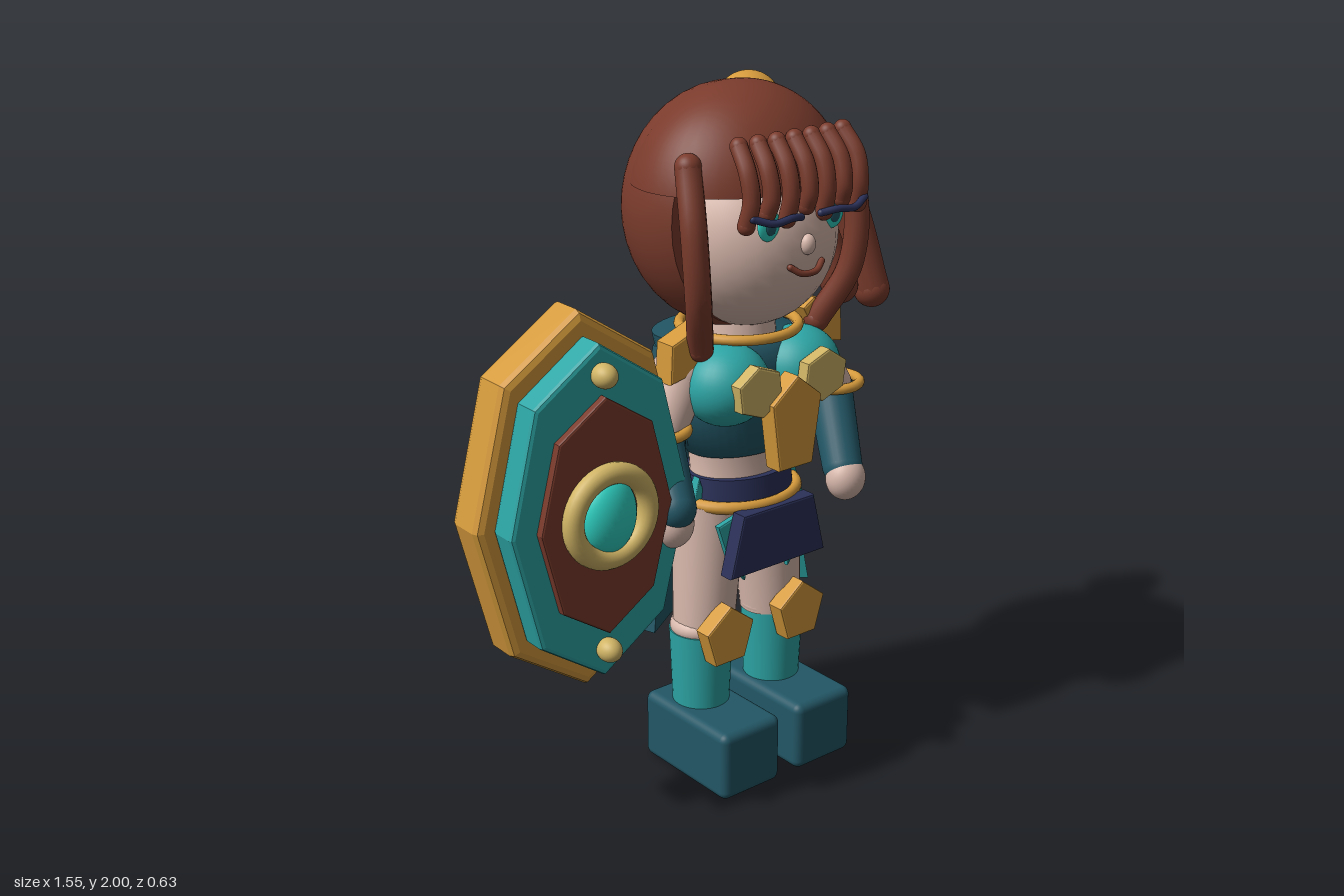
import * as THREE from 'three';
import { RoundedBoxGeometry } from 'three/addons/geometries/RoundedBoxGeometry.js';

const V = (x, y, z) => new THREE.Vector3(x, y, z);

export function createModel() {
  const material = (name, color) => {
    const m = new THREE.MeshStandardMaterial({ color });
    m.name = name;
    return m;
  };
  const skin = material('skin', 0xd8b8ac);
  const hair = material('auburn', 0x7a3b2c);
  const gold = material('gold', 0xd59a3c);
  const paleGold = material('pale gold', 0xd0b465);
  const teal = material('teal', 0x2da5a5);
  const darkTeal = material('dark teal', 0x235766);
  const navy = material('navy', 0x2b3159);
  const gem = material('turquoise', 0x2fd3c4);

  const model = new THREE.Group();
  const body = new THREE.Group();
  body.name = 'figure';
  body.position.x = 0.167;
  model.add(body);

  // Helpers: every part is added with a name, geometry, material and position
  function add(parent, name, geo, mat, x = 0, y = 0, z = 0) {
    const mesh = new THREE.Mesh(geo, mat);
    mesh.name = name;
    mesh.position.set(x, y, z);
    parent.add(mesh);
    return mesh;
  }
  const ball = (parent, name, mat, p, r) =>
    add(parent, name, new THREE.SphereGeometry(1, 32, 24).scale(...r), mat, ...p);
  function limb(parent, name, mat, a, b, ra, rb) {
    const dir = b.clone().sub(a);
    const mesh = add(parent, name, new THREE.CylinderGeometry(rb, ra, dir.length(), 28), mat);
    mesh.position.copy(a).add(b).multiplyScalar(0.5);
    mesh.quaternion.setFromUnitVectors(V(0, 1, 0), dir.normalize());
    return mesh;
  }
  function strand(parent, name, mat, pts, r, roundEnd = true) {
    const curve = new THREE.CatmullRomCurve3(pts);
    add(parent, name, new THREE.TubeGeometry(curve, 24, r, 12), mat);
    for (const p of roundEnd ? [pts[0], pts[pts.length - 1]] : [])
      ball(parent, name + 'Tip', mat, [p.x, p.y, p.z], [r, r, r]);
  }
  function plate(parent, name, mat, pts, depth, p, bevel = 0.006) {
    const shape = new THREE.Shape(pts.map(([x, y]) => new THREE.Vector2(x, y)));
    const geo = new THREE.ExtrudeGeometry(shape, {
      depth: depth - 2 * bevel, bevelEnabled: bevel > 0, bevelSize: bevel,
      bevelThickness: bevel, bevelOffset: -bevel, bevelSegments: 2,
    });
    return add(parent, name, geo.translate(0, 0, bevel), mat, ...p);
  }
  const polygon = (n, rx, ry, start = Math.PI / 2) => Array.from({ length: n }, (_, i) => {
    const a = start + (i / n) * Math.PI * 2;
    return [Math.cos(a) * rx, Math.sin(a) * ry];
  });
  // Unit sphere with its bottom sliced flat at height h
  function slicedSphere(h) {
    const end = Math.acos(h);
    const pts = [new THREE.Vector2(0, h), new THREE.Vector2(Math.sin(end) - 0.002, h)];
    for (let i = 24; i >= 0; i--) {
      const t = (end * i) / 24;
      pts.push(new THREE.Vector2(Math.sin(t), Math.cos(t)));
    }
    return new THREE.LatheGeometry(pts, 40);
  }
  const lathe = (pts) => new THREE.LatheGeometry(pts.map(([r, y]) => new THREE.Vector2(r, y)), 36);

  // Head and hair
  ball(body, 'face', skin, [0, 1.6, 0.03], [0.25, 0.26, 0.245]);
  add(body, 'backHair', slicedSphere(-0.345).rotateX(-Math.PI / 2).scale(0.31, 0.335, 0.29), hair, 0, 1.66, -0.03);
  add(body, 'hairCap', slicedSphere(0.2).scale(0.322, 0.32, 0.262), hair, 0, 1.68, -0.005);
  for (let i = 0; i < 7; i++) {
    const x = (i - 3) * 0.063;
    const dz = -0.3 * x * x;
    strand(body, 'fringe', hair, [V(x * 0.95, 1.88, 0.215 + dz), V(x, 1.82, 0.262 + dz),
      V(x, 1.75, 0.278 + dz), V(x * 1.03, 1.685 + (i % 2) * 0.025, 0.265 + dz)], 0.024);
  }
  for (const s of [-1, 1]) {
    strand(body, 'sideLock', hair, [V(s * 0.26, 1.82, 0.1), V(s * 0.285, 1.66, 0.155),
      V(s * 0.27, 1.48, 0.155), V(s * 0.21, 1.32, 0.09)], 0.036);
  }

  // Ponytail
  ball(body, 'hairBobble', gold, [0.2, 1.88, -0.2], [0.095, 0.095, 0.095]);
  for (const [x, y, z] of [[0.56, 1.31, -0.05], [0.42, 1.35, -0.04], [0.29, 1.4, -0.06]]) {
    strand(body, 'ponytail', hair, [V(0.22, 1.85, -0.19), V(0.13 + x * 0.47, 1.79, -0.18),
      V(x - 0.05, 1.58, -0.12), V(x, y, z)], 0.054);
  }

  // Face details
  for (const s of [-1, 1]) {
    ball(body, 'iris', gem, [s * 0.112, 1.672, 0.247], [0.037, 0.042, 0.012]);
    ball(body, 'pupil', darkTeal, [s * 0.112, 1.672, 0.257], [0.018, 0.025, 0.006]);
    strand(body, 'eyelash', navy, [V(s * 0.035, 1.69, 0.285), V(s * 0.08, 1.697, 0.3),
      V(s * 0.14, 1.692, 0.3), V(s * 0.195, 1.708, 0.28)], 0.01);
  }
  ball(body, 'nose', skin, [0, 1.61, 0.275], [0.022, 0.028, 0.02]);
  strand(body, 'mouth', hair, [V(-0.055, 1.555, 0.27), V(-0.025, 1.537, 0.283),
    V(0.025, 1.537, 0.283), V(0.055, 1.555, 0.27)], 0.009);

  // Torso and chest armour
  add(body, 'neck', new THREE.CylinderGeometry(0.09, 0.11, 0.16, 28), skin, 0, 1.35, 0);
  add(body, 'bodice', lathe([[0, 0.98], [0.165, 0.98], [0.17, 1.1], [0.2, 1.22], [0.17, 1.31], [0, 1.33]])
    .scale(1, 1, 0.72), darkTeal);
  add(body, 'waist', lathe([[0.17, 0.8], [0.15, 0.92], [0.155, 0.99]]).scale(1, 1, 0.75), skin);
  add(body, 'collarRing', new THREE.TorusGeometry(0.165, 0.015, 12, 40).rotateX(Math.PI / 2), gold, 0, 1.33, 0);
  for (const s of [-1, 1]) {
    ball(body, 'breastplate', teal, [s * 0.13, 1.205, 0.1], [0.125, 0.115, 0.12]);
    plate(body, 'chestBadge', paleGold, polygon(6, 0.083, 0.075, 0.4 * s), 0.04, [s * 0.117, 1.212, 0.195]);
    plate(body, 'shoulderGuard', gold, s < 0
      ? [[-0.31, 1.235], [-0.22, 1.255], [-0.16, 1.36], [-0.2, 1.385], [-0.305, 1.345]]
      : [[0.31, 1.235], [0.305, 1.345], [0.2, 1.385], [0.16, 1.36], [0.22, 1.255]], 0.07, [0, 0, 0.02]);
  }
  plate(body, 'sternumPlate', gold, [[0, 1.24], [-0.088, 1.17], [-0.06, 0.975], [0.06, 0.975], [0.088, 1.17]],
    0.06, [0, 0, 0.19]);

  // Belt, hips and skirt
  ball(body, 'hips', skin, [0, 0.78, 0], [0.185, 0.13, 0.12]);
  add(body, 'waistband', new THREE.CylinderGeometry(0.165, 0.175, 0.09, 36).scale(1, 1, 0.8), navy, 0, 0.87, 0);
  add(body, 'belt', new THREE.TorusGeometry(0.18, 0.018, 12, 40).rotateX(Math.PI / 2).scale(1, 1, 0.85), gold, 0, 0.84, 0);
  const skirtPts = [[-0.13, 0.84], [-0.175, 0.66], [0.175, 0.66], [0.13, 0.84]];
  plate(body, 'frontSkirt', navy, skirtPts, 0.05, [0, 0, 0.135]);
  plate(body, 'backSkirt', navy, skirtPts, 0.04, [0, 0, -0.16]);
  for (const s of [-1, 1]) {
    const petal = plate(body, 'hipPetal', teal, [[-0.05, 0.09], [-0.04, -0.03], [0, -0.12], [0.04, -0.03], [0.05, 0.09]],
      0.02, [s * 0.11, 0.73, 0.115]);
    petal.rotation.z = -s * 0.25;
    plate(body, 'hipFlare', teal, [[0, 0.07], [-0.05, -0.07], [0.05, -0.07]], 0.03, [s * 0.17, 0.85, 0.01]);
  }

  // Legs, knee guards and boots
  for (const s of [-1, 1]) {
    limb(body, 'thigh', skin, V(s * 0.128, 0.44, 0.005), V(s * 0.1, 0.83, 0), 0.09, 0.105);
    ball(body, 'knee', skin, [s * 0.132, 0.45, 0.005], [0.096, 0.05, 0.09]);
    add(body, 'stocking', new THREE.CylinderGeometry(0.093, 0.083, 0.24, 32), teal, s * 0.136, 0.32, 0.005);
    plate(body, 'kneeGuard', gold, polygon(5, 0.09, 0.096), 0.055, [s * 0.136, 0.454, 0.085]);
    add(body, 'boot', new RoundedBoxGeometry(0.215, 0.21, 0.37, 4, 0.025), darkTeal, s * 0.139, 0.107, 0.06);
  }

  // Arms: one reaches to the shield, the other hangs slightly forward
  const arms = [[1, V(0.255, 0.89, 0.165), V(0.25, 0.86, 0.185)], [-1, V(-0.37, 0.93, 0.18), V(-0.37, 0.88, 0.17)]];
  for (const [s, wrist, hand] of arms) {
    const shoulder = V(s * 0.225, 1.23, 0.02);
    const elbow = V(s * 0.315, 1.08, 0.04);
    ball(body, 'shoulder', skin, shoulder.toArray(), [0.08, 0.085, 0.08]);
    limb(body, 'upperArm', skin, shoulder, elbow, 0.08, 0.068);
    ball(body, 'elbow', darkTeal, elbow.toArray(), [0.067, 0.067, 0.067]);
    limb(body, 'gauntlet', darkTeal, elbow, wrist, 0.066, 0.058);
    ball(body, 'gauntletEnd', darkTeal, wrist.toArray(), [0.058, 0.058, 0.058]);
    ball(body, 'hand', skin, hand.toArray(), [0.06, 0.065, 0.055]);
    add(body, 'armRing', new THREE.TorusGeometry(0.082, 0.015, 12, 36).rotateX(Math.PI / 2), gold, s * 0.32, 1.1, 0.04);
  }

  // Cape: a curved collar and two flaring, angled panels
  add(body, 'capeCollar', new THREE.CylinderGeometry(0.205, 0.15, 0.24, 36).scale(1, 1, 0.62), darkTeal, 0, 1.185, -0.1);
  const bottom = [[0.295, -0.01], [0.34, -0.14], [0.085, -0.3], [0.02, -0.18]];
  const top = [[0.16, -0.07], [0.2, -0.13], [0.085, -0.225], [0.03, -0.16]];
  for (const s of [-1, 1]) {
    const at = (ring, y, i) => [s * ring[i % 4][0], y, ring[i % 4][1]];
    const pos = [];
    const quad = (a, b, c, d) => {
      const q = s > 0 ? [a, b, c, a, c, d] : [a, c, b, a, d, c];
      for (const p of q) pos.push(...p);
    };
    for (let i = 0; i < 4; i++)
      quad(at(bottom, 0.46, i), at(top, 1.27, i), at(top, 1.27, i + 1), at(bottom, 0.46, i + 1));
    quad(...[3, 2, 1, 0].map((i) => at(top, 1.27, i)));
    quad(...[0, 1, 2, 3].map((i) => at(bottom, 0.46, i)));
    // Reverse the winding when a side faces inward
    const geo = new THREE.BufferGeometry();
    geo.setAttribute('position', new THREE.Float32BufferAttribute(pos, 3));
    geo.computeVertexNormals();
    const n = geo.attributes.normal;
    const facesOut = n.getX(0) * s > 0;
    if (!facesOut) {
      const p = geo.attributes.position;
      for (let i = 0; i < p.count; i += 3) {
        const b = [p.getX(i + 1), p.getY(i + 1), p.getZ(i + 1)];
        p.setXYZ(i + 1, p.getX(i + 2), p.getY(i + 2), p.getZ(i + 2));
        p.setXYZ(i + 2, ...b);
      }
      geo.computeVertexNormals();
    }
    add(body, 'capePanel', geo, s > 0 ? teal : darkTeal);
  }

  // Shield: stacked octagons with a ringed gem and two studs
  const shield = new THREE.Group();
  shield.name = 'shield';
  shield.position.set(-0.437, 0.975, 0);
  shield.rotation.y = -0.025;
  model.add(shield);
  plate(shield, 'shieldRim', gold, polygon(8, 0.33, 0.53), 0.125, [0, 0, -0.025], 0.022);
  plate(shield, 'shieldFace', teal, polygon(8, 0.28, 0.465), 0.085, [0, 0, 0.098], 0.012);
  plate(shield, 'shieldPanel', hair, polygon(8, 0.205, 0.33), 0.027, [0, 0, 0.18]);
  add(shield, 'gemRing', new THREE.TorusGeometry(0.117, 0.029, 16, 44), paleGold, 0, 0.01, 0.218);
  ball(shield, 'shieldGem', gem, [0, 0.01, 0.21], [0.08, 0.105, 0.05]);
  for (const y of [0.385, -0.38]) ball(shield, 'stud', paleGold, [0, y, 0.2], [0.033, 0.033, 0.04]);

  return model;
}
